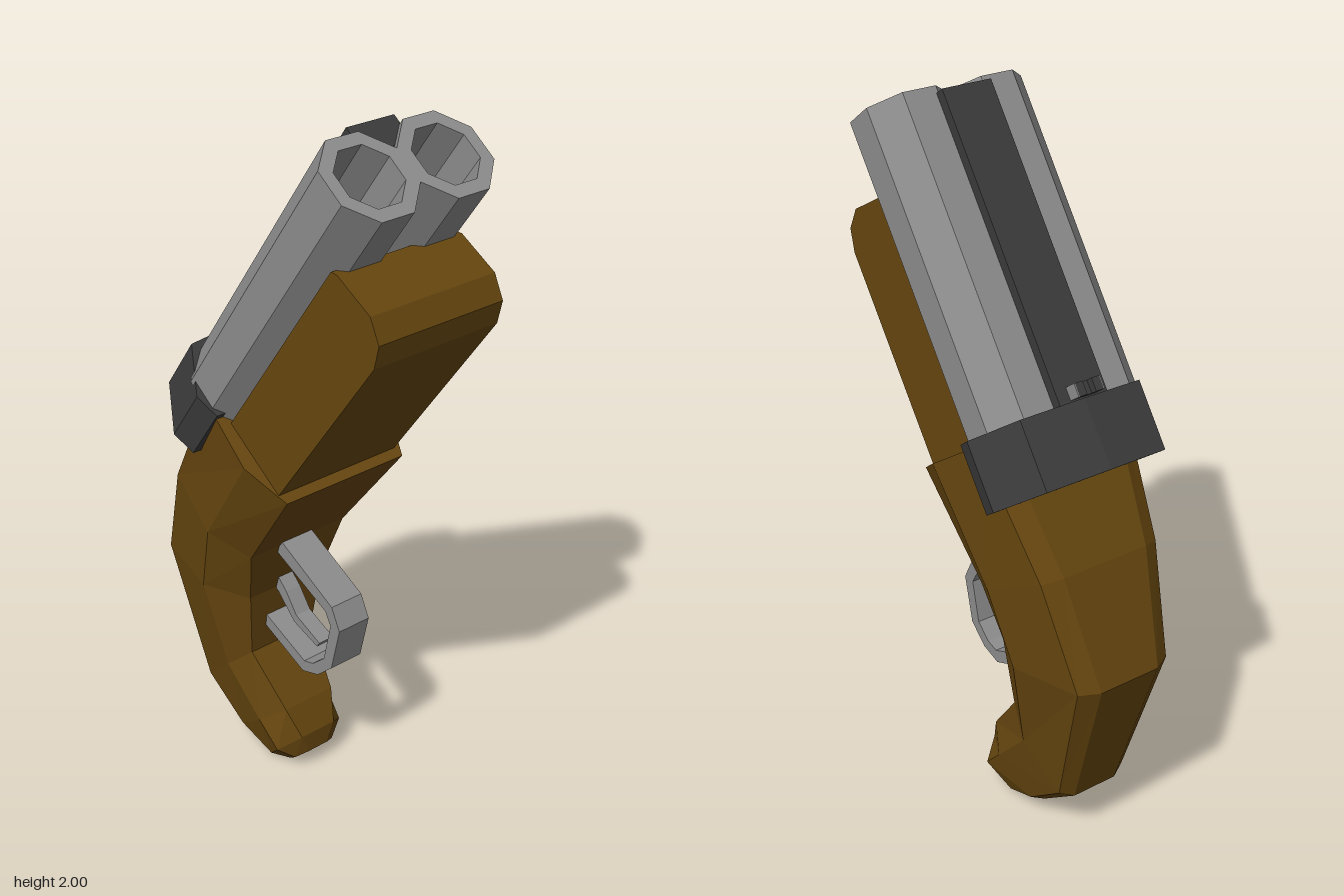
import * as THREE from 'three';

const mat = (name, color) => {
  const m = new THREE.MeshStandardMaterial({ color });
  m.name = name;
  return m;
};

export function createModel() {
  const root = new THREE.Group();
  const wood = mat('brown wood', 0x66460f);
  const steel = mat('grey steel', 0x8c8c8c);
  const dark = mat('dark steel', 0x3b3b3b);

  const add = (parent, name, geometry, material, x = 0, y = 0, z = 0) => {
    const mesh = new THREE.Mesh(geometry, material);
    mesh.name = name;
    mesh.position.set(x, y, z);
    parent.add(mesh);
    return mesh;
  };
  const shapeOf = pts => new THREE.Shape(pts.map(([a, b]) => new THREE.Vector2(a, b)));
  const extrude = (shape, depth) => new THREE.ExtrudeGeometry(shape, { depth, bevelEnabled: false });
  // side profile given as (z, y), extruded across x
  const sideProfile = (pts, width) =>
    extrude(shapeOf(pts), width).translate(0, 0, -width / 2).rotateY(-Math.PI / 2);
  const octagon = r => Array.from({ length: 8 }, (_, i) => {
    const a = (i + 0.5) * Math.PI / 4, R = r / Math.cos(Math.PI / 8);
    return [R * Math.cos(a), R * Math.sin(a)];
  });

  // Barrel assembly: local z runs to the muzzle, local y is the rib side
  const action = new THREE.Group();
  action.name = 'barrelAssembly';
  action.position.set(0, 1.926, 0.352);
  action.rotation.x = -THREE.MathUtils.degToRad(54.5);
  root.add(action);

  // Two octagonal barrels with open bores
  for (const side of [-1, 1]) {
    const ring = shapeOf(octagon(0.12));
    ring.holes.push(shapeOf(octagon(0.085)));
    add(action, side < 0 ? 'rightBarrel' : 'leftBarrel', extrude(ring, 0.88), steel,
      -0.004 + side * 0.119, 0, -0.88);
  }

  // Rib filling the groove between the barrels
  add(action, 'rib', extrude(shapeOf([
    [-0.03, 0.07], [0.03, 0.07], [0.075, 0.115], [0.075, 0.15], [-0.075, 0.15], [-0.075, 0.115],
  ]), 0.85), dark, -0.004, 0, -0.87);

  // Receiver block
  add(action, 'receiver', extrude(shapeOf([
    [-0.245, -0.075], [0.245, -0.075], [0.265, -0.005], [0.19, 0.142],
    [0, 0.16], [-0.19, 0.142], [-0.265, -0.005],
  ]), 0.19), dark, 0, 0, -1.05);

  // Notched rear sight with bright side plates
  const sight = new THREE.Group();
  sight.name = 'rearSight';
  sight.position.set(-0.005, 0, -0.838);
  action.add(sight);
  add(sight, 'sightBase', new THREE.BoxGeometry(0.076, 0.03, 0.036), dark, 0, 0.153, 0);
  for (const side of [-1, 1]) {
    add(sight, 'sightPost', new THREE.BoxGeometry(0.024, 0.05, 0.036), dark, side * 0.026, 0.165, 0);
    add(sight, 'sightSide', new THREE.BoxGeometry(0.003, 0.05, 0.036), steel, side * 0.0395, 0.165, 0);
  }

  // Fore-end under the barrels
  add(action, 'foreEnd', sideProfile([
    [-0.9, -0.1], [-0.9, -0.335], [-0.267, -0.337], [-0.206, -0.312],
    [-0.173, -0.25], [-0.188, -0.118], [-0.2, -0.1],
  ], 0.4), wood, -0.008);

  // Curved stock: each row is front z, y, back z, y, then half-widths
  // at the front flat, the side, the rear chamfer and the back flat
  const rows = [
    [0.143, 1.005, -0.174, 1.22, 0.2, 0.252, 0.235, 0.18],
    [-0.058, 0.73, -0.376, 0.889, 0.165, 0.226, 0.19, 0.135],
    [-0.108, 0.56, -0.487, 0.582, 0.13, 0.195, 0.15, 0.095],
    [-0.132, 0.355, -0.354, 0.153, 0.11, 0.138, 0.11, 0.07],
    [-0.01, 0.206, -0.212, 0.048, 0.085, 0.127, 0.1, 0.065],
    [0.032, 0.12, -0.09, 0, 0.06, 0.118, 0.085, 0.06],
    [0.032, 0.058, -0.026, 0.01, 0.035, 0.07, 0.06, 0.045],
  ];
  const depth = [0, 0.35, 0.92, 1];
  const pos = [], idx = [];
  for (const [fz, fy, bz, by, ...w] of rows) {
    const half = w.map((x, i) => [x, fy + (by - fy) * depth[i], fz + (bz - fz) * depth[i]]);
    for (const p of half) pos.push(...p);
    for (const [x, y, z] of half.reverse()) pos.push(-x, y, z);
  }
  for (let r = 0; r < rows.length - 1; r++) {
    for (let i = 0; i < 8; i++) {
      const a = r * 8 + i, b = r * 8 + (i + 1) % 8;
      idx.push(a + 8, b + 8, b, a + 8, b, a);
    }
  }
  const last = (rows.length - 1) * 8;
  for (let i = 1; i < 7; i++) idx.push(0, i, i + 1, last, last + i + 1, last + i);
  const loft = new THREE.BufferGeometry();
  loft.setAttribute('position', new THREE.Float32BufferAttribute(pos, 3));
  loft.setIndex(idx);
  const stockGeometry = loft.toNonIndexed();
  stockGeometry.computeVertexNormals();
  add(root, 'stock', stockGeometry, wood);

  // Trigger guard loop
  add(root, 'triggerGuard', sideProfile([
    [-0.08, 0.765], [0.164, 0.64], [0.196, 0.577], [0.164, 0.44], [0.106, 0.386],
    [0.042, 0.365], [-0.15, 0.446], [-0.15, 0.485], [0.048, 0.402], [0.085, 0.413],
    [0.132, 0.455], [0.159, 0.577], [0.138, 0.614], [-0.09, 0.717],
  ], 0.106), steel, -0.012);

  // Trigger
  add(root, 'trigger', sideProfile([
    [-0.14, 0.62], [-0.1, 0.6], [-0.064, 0.566], [-0.02, 0.508], [0.08, 0.466],
    [0.07, 0.45], [-0.03, 0.482], [-0.1, 0.55], [-0.14, 0.57],
  ].reverse(), 0.05), steel, -0.012);

  return root;
}
